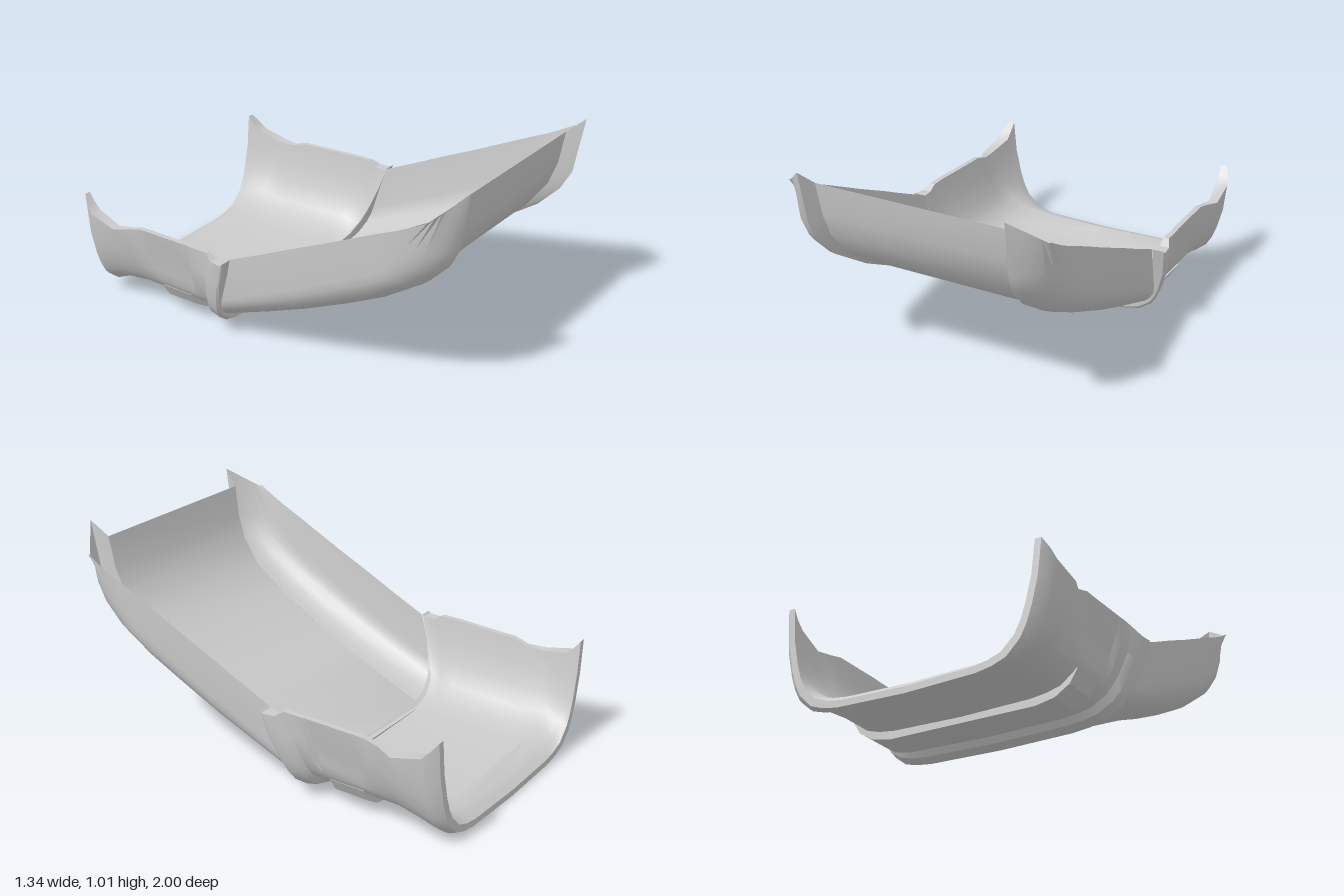
import * as THREE from 'three';
import { toCreasedNormals } from 'three/addons/utils/BufferGeometryUtils.js';

const material = new THREE.MeshStandardMaterial({ color: 0xcccccc, side: THREE.DoubleSide });

// Skin a list of rows, each a list of [x, y, z] points
function loft(name, rows, closed) {
  const n = rows[0].length, index = [];
  for (let i = 0; i < rows.length - 1; i++) {
    for (let j = 0; j < (closed ? n : n - 1); j++) {
      const k = (j + 1) % n;
      const a = i * n + j, b = i * n + k, c = b + n, d = a + n;
      index.push(a, b, c, a, c, d);
    }
  }
  const g = new THREE.BufferGeometry();
  g.setAttribute('position', new THREE.Float32BufferAttribute(rows.flat(2), 3));
  g.setIndex(index);
  const mesh = new THREE.Mesh(toCreasedNormals(g, 0.55), material);
  mesh.name = name;
  return mesh;
}

const mirrorX = (half) => half.map(([x, y, z]) => [-x, y, z]).reverse();
const lerp = THREE.MathUtils.lerp;

// Curved ramp: guide lines as [z, y], all with the same number of stations
const panel = [[-.26, .07], [0, .175], [.2, .255], [.4, .345], [.6, .45], [.76, .56], [.85, .68], [.89, .79], [.915, .94]];
const keel = [[-.27, .06], [0, .16], [.2, .24], [.4, .33], [.6, .43], [.8, .56], [.9, .66], [.95, .75], [.995, 1.01]];
const crease = [[-.2, .21], [0, .3], [.2, .39], [.4, .49], [.55, .56], [.64, .61], [.72, .7], [.78, .77], [.88, .905]];
const rail = [[-.13, .44], [.05, .52], [.2, .59], [.38, .67], [.53, .74], [.66, .8], [.74, .835], [.8, .865], [.88, .91]];

function rampRows() {
  return panel.map(([pz, py], i) => {
    const t = i / (panel.length - 1), straight = t ** 10;
    const a = lerp(.4, .46, t), k = lerp(.41, .488, t), w = lerp(.6, .62, t);
    const half = [[a, py, pz]];
    // lower corner from the keel to the side crease: round, but cut straight at the tip
    for (let s = 0; s <= 6; s++) {
      const u = s / 6, q = u * Math.PI / 2;
      const out = lerp(Math.sin(q), u, straight), up = lerp(1 - Math.cos(q), u, straight);
      half.push([lerp(k, w, out), lerp(keel[i][1], crease[i][1], up), lerp(keel[i][0], crease[i][0], up)]);
    }
    half.push([w + .01, rail[i][1], rail[i][0]]);
    return [...mirrorX(half), ...half];
  });
}

// Tub: half outline as [width share, height share], from rim to middle
const outline = [[1, 1], [.975, .69], [.93, .45], [.895, .32], [.85, .21], [.75, .09], [.65, .045], [.53, .02], [0, 0]];
// Stations: floor z, rim z, floor y, rim y, half width, thickness, side dent
const stations = [
  [-.25, -.13, .025, .44, .67, .055, 0],
  [-.27, -.14, .01, .43, .672, .055, 0],
  [-.32, -.2, .025, .43, .665, .045, 0],
  [-.34, -.24, .052, .455, .645, .025, 0],
  [-.38, -.33, .052, .455, .645, .025, 0],
  [-.4, -.36, .052, .455, .642, .025, .015],
  [-.6, -.6, .05, .45, .635, .025, .015],
  [-.66, -.64, .05, .45, .635, .025, 0],
  [-.76, -.71, .05, .43, .63, .025, 0],
  [-.88, -.79, .052, .42, .662, .045, 0],
  [-.95, -.93, .008, .455, .655, .06, 0],
  [-.975, -.965, 0, .49, .645, .05, 0],
  [-1, -.995, 0, .53, .622, .03, 0],
];

function tubProfile([zF, zT, yF, yT, w, d, dent], capped) {
  const skin = (inset, dip) => {
    const half = outline.map(([fx, h], j) => [
      fx * (w - inset) - (j === 1 || j === 2 ? dip : 0),
      lerp(yF + inset, yT, h),
      lerp(zF, zT, h),
    ]);
    return [...half, ...mirrorX(half.slice(0, -1))];
  };
  return [...skin(capped ? d : 0, dent), ...skin(d, 0).reverse()];
}

export function createModel() {
  const model = new THREE.Group();
  model.name = 'channelTray';

  model.add(loft('curvedRamp', rampRows(), false));

  // tub with a raised collar at the front and a flared lip at the back
  const rows = stations.map((s) => tubProfile(s, false));
  rows.unshift(tubProfile(stations[0], true));
  rows.push(tubProfile(stations[stations.length - 1], true));
  model.add(loft('tubAndCollar', rows, true));

  // cross rib under the tub, its ends curling up against the walls
  const ribHalf = [[.36, .022], [.45, .04], [.52, .085], [.56, .15], [.535, .14], [.47, .095], [.36, .066]];
  const rib = new THREE.Shape(
    [...ribHalf, ...ribHalf.map(([x, y]) => [-x, y]).reverse()].map(([x, y]) => new THREE.Vector2(x, y)));
  const ribMesh = new THREE.Mesh(
    new THREE.ExtrudeGeometry(rib, { depth: .17, bevelEnabled: false }).translate(0, 0, -.59), material);
  ribMesh.name = 'underRib';
  model.add(ribMesh);

  // sill strip where the ramp panel meets the tub floor
  const sill = new THREE.Mesh(new THREE.BoxGeometry(.82, .015, .03), material);
  sill.position.set(0, .068, -.265);
  sill.name = 'sillStrip';
  model.add(sill);

  return model;
}
